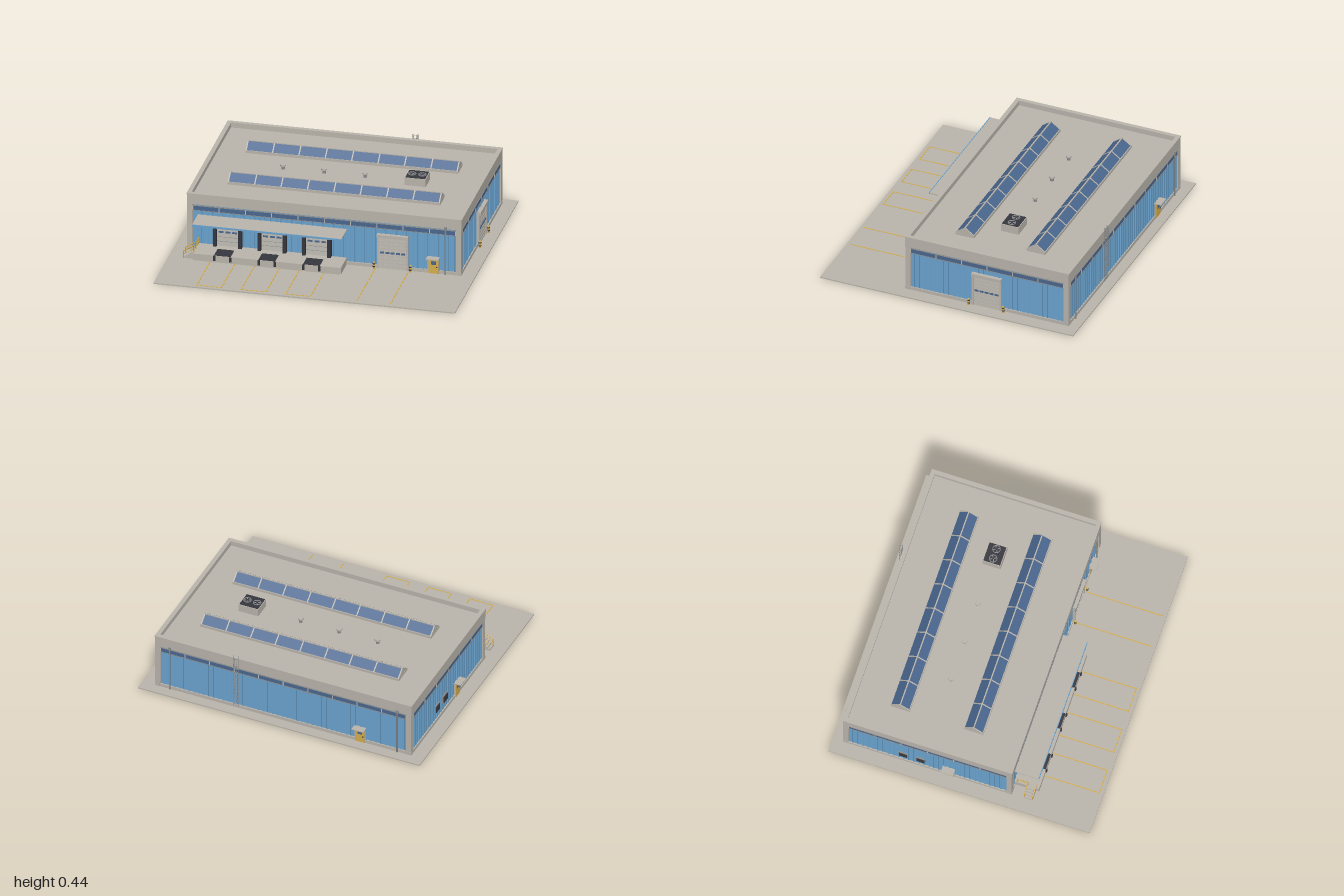
import * as THREE from 'three';

const mat = (name, color) => Object.assign(new THREE.MeshStandardMaterial({ color }), { name });
const concrete = mat('concrete', 0xbab5ac);
const blue = mat('blue cladding', 0x6ca4d0);
const glass = mat('glass', 0x4a678f);
const dark = mat('dark rubber', 0x36363e);
const yellow = mat('safety yellow', 0xd6ae4c);
const steel = mat('steel', 0x8b8d8e);
const doorGrey = mat('door panel', 0xc2beb5);

const G = 0.008; // top of the ground slab

function add(parent, name, geometry, material) {
  const m = new THREE.Mesh(geometry, material);
  m.name = name;
  parent.add(m);
  return m;
}

// box given by its limits on each axis
function box(parent, name, material, x0, x1, y0, y1, z0, z1) {
  const m = add(parent, name, new THREE.BoxGeometry(x1 - x0, y1 - y0, z1 - z0), material);
  m.position.set((x0 + x1) / 2, (y0 + y1) / 2, (z0 + z1) / 2);
  return m;
}

function cyl(parent, name, material, r, x, y0, y1, z, sides = 12) {
  const m = add(parent, name, new THREE.CylinderGeometry(r, r, y1 - y0, sides), material);
  m.position.set(x, (y0 + y1) / 2, z);
  return m;
}

// round bar between two points
function bar(parent, name, material, a, b, r = 0.003) {
  const p = new THREE.Vector3(...a), q = new THREE.Vector3(...b);
  const m = add(parent, name, new THREE.CylinderGeometry(r, r, p.distanceTo(q), 8), material);
  m.position.copy(p).add(q).multiplyScalar(0.5);
  m.quaternion.setFromUnitVectors(new THREE.Vector3(0, 1, 0), q.sub(p).normalize());
  return m;
}

// ribbed sheet, outward along local +z
function claddingGeometry(half, height) {
  const s = new THREE.Shape();
  const n = Math.round(half * 2 / 0.035), p = half * 2 / n;
  s.moveTo(-half, 0.01);
  for (let i = 0; i < n; i++) {
    const x = -half + i * p;
    s.lineTo(x, 0);
    s.lineTo(x + p * 0.62, 0);
    s.lineTo(x + p * 0.7, -0.004);
    s.lineTo(x + p * 0.92, -0.004);
  }
  s.lineTo(half, 0);
  s.lineTo(half, 0.01);
  return new THREE.ExtrudeGeometry(s, { depth: height, bevelEnabled: false }).rotateX(-Math.PI / 2);
}

// one outer wall; local x runs along it, z = 0 is its outer face
function wall(parent, name, width, x, z, turn) {
  const g = new THREE.Group();
  g.name = name;
  g.position.set(x, 0, z);
  g.rotation.y = turn;
  parent.add(g);
  const h = width / 2, w = h - 0.038;
  add(g, 'cladding', claddingGeometry(w, 0.3), blue).position.set(0, 0.03, -0.01);
  box(g, 'plinth', concrete, -h, h, G, 0.03, -0.03, -0.001);
  box(g, 'parapet', concrete, -h, h, 0.33, 0.405, -0.024, 0);
  box(g, 'coping', concrete, -h - 0.003, h + 0.003, 0.399, 0.406, -0.026, 0.003);
  for (const s of [-1, 1]) box(g, 'cornerPier', concrete, s * (h - 0.019) - 0.018, s * (h - 0.019) + 0.018, G, 0.33, -0.036, -0.001);
  box(g, 'windowStrip', glass, -w, w, 0.29, 0.32, -0.01, -0.003);
  for (const y of [0.288, 0.321]) box(g, 'windowRail', steel, -w, w, y - 0.002, y + 0.002, -0.01, 0);
  const n = Math.round(w * 2 / 0.175);
  for (let i = 0; i <= n; i++) {
    const m = -w + i * 2 * w / n;
    box(g, 'mullion', doorGrey, m - 0.003, m + 0.003, 0.29, 0.32, -0.01, 0);
  }
  return g;
}

function rollerDoor(g, x) {
  box(g, 'rollerDoor', doorGrey, x - 0.097, x + 0.097, G, 0.235, -0.02, 0.002);
  for (let i = 1; i < 9; i++) box(g, 'doorRib', concrete, x - 0.09, x + 0.09, i * 0.025, i * 0.025 + 0.004, 0, 0.005);
  for (let i = -2; i <= 2; i++) box(g, 'doorWindow', glass, x + i * 0.035 - 0.013, x + i * 0.035 + 0.013, 0.115, 0.129, 0, 0.006);
  for (const s of [-1, 1]) {
    box(g, 'doorJamb', concrete, x + s * 0.098 - 0.005, x + s * 0.098 + 0.005, G, 0.24, -0.02, 0.008);
    cyl(g, 'bollard', yellow, 0.008, x + s * 0.121, G, 0.055, 0.016);
    for (const y of [0.02, 0.04]) cyl(g, 'bollardBand', dark, 0.0085, x + s * 0.121, y, y + 0.008, 0.016);
  }
  box(g, 'doorHood', concrete, x - 0.104, x + 0.104, 0.23, 0.25, -0.02, 0.018);
}

function staffDoor(g, x) {
  box(g, 'staffDoorFrame', concrete, x - 0.038, x + 0.038, G, 0.117, -0.02, 0);
  box(g, 'staffDoor', yellow, x - 0.032, x + 0.032, G, 0.11, -0.02, 0.003);
  box(g, 'staffDoorWindow', glass, x - 0.016, x + 0.016, 0.07, 0.095, 0, 0.005);
  box(g, 'staffDoorHandle', dark, x + 0.02, x + 0.026, 0.052, 0.058, 0, 0.01);
  box(g, 'staffDoorCanopy', concrete, x - 0.042, x + 0.042, 0.117, 0.123, -0.01, 0.04);
}

function downpipe(g, x) {
  cyl(g, 'downpipe', steel, 0.005, x, G, 0.335, 0.004, 10);
  box(g, 'rainHopper', steel, x - 0.009, x + 0.009, 0.325, 0.345, -0.002, 0.011);
}

function dockDoor(g, x) {
  box(g, 'dockDoor', doorGrey, x - 0.075, x + 0.075, 0.055, 0.215, -0.02, 0.002);
  for (const y of [0.087, 0.118, 0.18]) box(g, 'doorSeam', steel, x - 0.073, x + 0.073, y, y + 0.002, 0, 0.004);
  for (let i = -1; i <= 1; i++) box(g, 'doorWindow', glass, x + i * 0.045 - 0.016, x + i * 0.045 + 0.016, 0.148, 0.16, 0, 0.005);
  for (const s of [-1, 1]) {
    box(g, 'dockSeal', dark, x + s * 0.084 - 0.011, x + s * 0.084 + 0.011, 0.055, 0.235, -0.01, 0.025);
    box(g, 'dockBumper', dark, x + s * 0.053 - 0.008, x + s * 0.053 + 0.008, 0.02, 0.054, 0.158, 0.168);
  }
  box(g, 'dockSealHead', dark, x - 0.073, x + 0.073, 0.212, 0.235, -0.01, 0.025);
  box(g, 'dockLeveller', dark, x - 0.055, x + 0.055, 0.055, 0.058, 0.06, 0.158);
}

// triangular slab with its ridge along x
function gable(parent, name, material, x0, x1, half, y0, y1, z) {
  const s = new THREE.Shape([new THREE.Vector2(-half, y0), new THREE.Vector2(half, y0), new THREE.Vector2(0, y1)]);
  const geo = new THREE.ExtrudeGeometry(s, { depth: x1 - x0, bevelEnabled: false }).rotateY(Math.PI / 2);
  add(parent, name, geo, material).position.set(x0, 0, z);
}

function roof(parent) {
  const g = new THREE.Group();
  g.name = 'roof';
  parent.add(g);
  box(g, 'roofDeck', concrete, -0.89, 0.89, 0.34, 0.37, -0.8, 0.31);
  for (const z of [0, -0.5]) {
    box(g, 'skylightCurb', concrete, -0.705, 0.705, 0.37, 0.388, z - 0.066, z + 0.066);
    gable(g, 'skylightGlass', glass, -0.7, 0.7, 0.06, 0.388, 0.43, z);
    for (let i = 0; i <= 8; i++) {
      const x = -0.7 + i * 0.175;
      gable(g, 'skylightBar', concrete, x - 0.004, x + 0.004, 0.064, 0.388, 0.434, z);
    }
    box(g, 'skylightRidge', concrete, -0.704, 0.704, 0.428, 0.434, z - 0.004, z + 0.004);
  }
  for (const x of [-0.41, -0.138, 0.135]) {
    cyl(g, 'ventPipe', steel, 0.012, x, 0.37, 0.396, -0.25, 16);
    cyl(g, 'ventCap', concrete, 0.019, x, 0.393, 0.403, -0.25, 16);
  }
  box(g, 'coolingUnit', concrete, 0.41, 0.55, 0.37, 0.423, -0.312, -0.188);
  box(g, 'coolingUnitTop', dark, 0.415, 0.545, 0.423, 0.426, -0.307, -0.193);
  for (const x of [0.446, 0.514]) {
    const ring = add(g, 'fanRing', new THREE.TorusGeometry(0.025, 0.003, 6, 20).rotateX(Math.PI / 2), steel);
    ring.position.set(x, 0.428, -0.25);
    for (const a of [0, Math.PI / 2]) box(g, 'fanBlade', steel, x - 0.023, x + 0.023, 0.426, 0.429, -0.253, -0.247).rotation.y = a + 0.5;
    cyl(g, 'fanHub', dark, 0.006, x, 0.426, 0.432, -0.25);
  }
}

// caged roof ladder on a wall
function ladder(g, x) {
  for (const s of [-1, 1]) bar(g, 'ladderRail', steel, [x + s * 0.016, 0.03, 0.012], [x + s * 0.016, 0.435, 0.012], 0.0025);
  for (let y = 0.045; y < 0.42; y += 0.02) bar(g, 'ladderRung', steel, [x - 0.016, y, 0.012], [x + 0.016, y, 0.012], 0.0018);
  for (let y = 0.14; y < 0.43; y += 0.055) {
    const hoop = add(g, 'ladderHoop', new THREE.TorusGeometry(0.017, 0.0018, 5, 12, Math.PI).rotateX(Math.PI / 2), steel);
    hoop.position.set(x, y, 0.013);
  }
  bar(g, 'ladderCageBar', steel, [x, 0.14, 0.03], [x, 0.42, 0.03], 0.0018);
}

function dock(g) {
  box(g, 'loadingDock', concrete, -0.835, 0.148, G, 0.055, -0.01, 0.16);
  for (const x of [-0.638, -0.343, -0.047]) dockDoor(g, x);
  box(g, 'dockCanopy', concrete, -0.84, 0.15, 0.25, 0.258, -0.01, 0.158);
  box(g, 'canopyFascia', blue, -0.84, 0.15, 0.248, 0.26, 0.157, 0.162);
  for (const x of [-0.79, -0.49, -0.19, 0.105]) bar(g, 'canopyBrace', steel, [x, 0.18, 0], [x, 0.25, 0.14], 0.004);
  for (let i = 0; i < 4; i++) box(g, 'dockStep', concrete, -0.905 + i * 0.0175, -0.835, G + i * 0.0115, G + (i + 1) * 0.0115, 0.08, 0.14);
  // yellow handrails beside the steps and along the dock end
  for (const z of [0.082, 0.138]) {
    bar(g, 'stairRail', yellow, [-0.9, 0.06, z], [-0.83, 0.102, z]);
    bar(g, 'stairMidRail', yellow, [-0.9, 0.038, z], [-0.83, 0.08, z], 0.002);
    bar(g, 'stairPost', yellow, [-0.9, G, z], [-0.9, 0.06, z]);
    bar(g, 'stairPost', yellow, [-0.83, 0.055, z], [-0.83, 0.102, z]);
  }
  for (const y of [0.08, 0.102]) bar(g, 'dockRail', yellow, [-0.83, y, 0.01], [-0.83, y, 0.082], 0.0025);
  bar(g, 'dockRailPost', yellow, [-0.83, 0.055, 0.012], [-0.83, 0.102, 0.012]);
}

export function createModel() {
  const model = new THREE.Group();
  model.name = 'warehouse';
  box(model, 'groundSlab', concrete, -1, 1, 0, G, -0.89, 0.89);

  // four walls
  const front = wall(model, 'frontWall', 1.82, 0, 0.33, 0);
  const back = wall(model, 'backWall', 1.82, 0, -0.82, Math.PI);
  const left = wall(model, 'leftWall', 1.15, 0.91, -0.245, Math.PI / 2);
  const right = wall(model, 'rightWall', 1.15, -0.91, -0.245, -Math.PI / 2);
  roof(model);
  dock(front);
  rollerDoor(front, 0.455);
  staffDoor(front, 0.725);
  downpipe(front, 0.805);
  rollerDoor(left, 0);
  staffDoor(back, 0.545);
  ladder(back, -0.33);
  for (const x of [-0.805, 0.81]) downpipe(back, x);
  staffDoor(right, 0.145);

  // louvres on the right wall
  for (const x of [-0.165, -0.045]) {
    box(right, 'louvreFrame', steel, x - 0.032, x + 0.032, 0.085, 0.14, -0.02, 0);
    for (let i = 0; i < 4; i++) box(right, 'louvreSlat', dark, x - 0.027, x + 0.027, 0.09 + i * 0.012, 0.099 + i * 0.012, -0.01, 0.004);
  }

  // painted parking bays
  const line = (x0, x1, z0, z1) => box(model, 'bayLine', yellow, x0, x1, G, G + 0.002, z0, z1);
  for (const c of [-0.638, -0.343, -0.047]) {
    for (const s of [-1, 1]) line(c + s * 0.082 - 0.003, c + s * 0.082 + 0.003, 0.49, 0.865);
    line(c - 0.079, c + 0.079, 0.859, 0.865);
  }
  for (const x of [0.342, 0.563]) line(x - 0.003, x + 0.003, 0.35, 0.865);
  return model;
}
